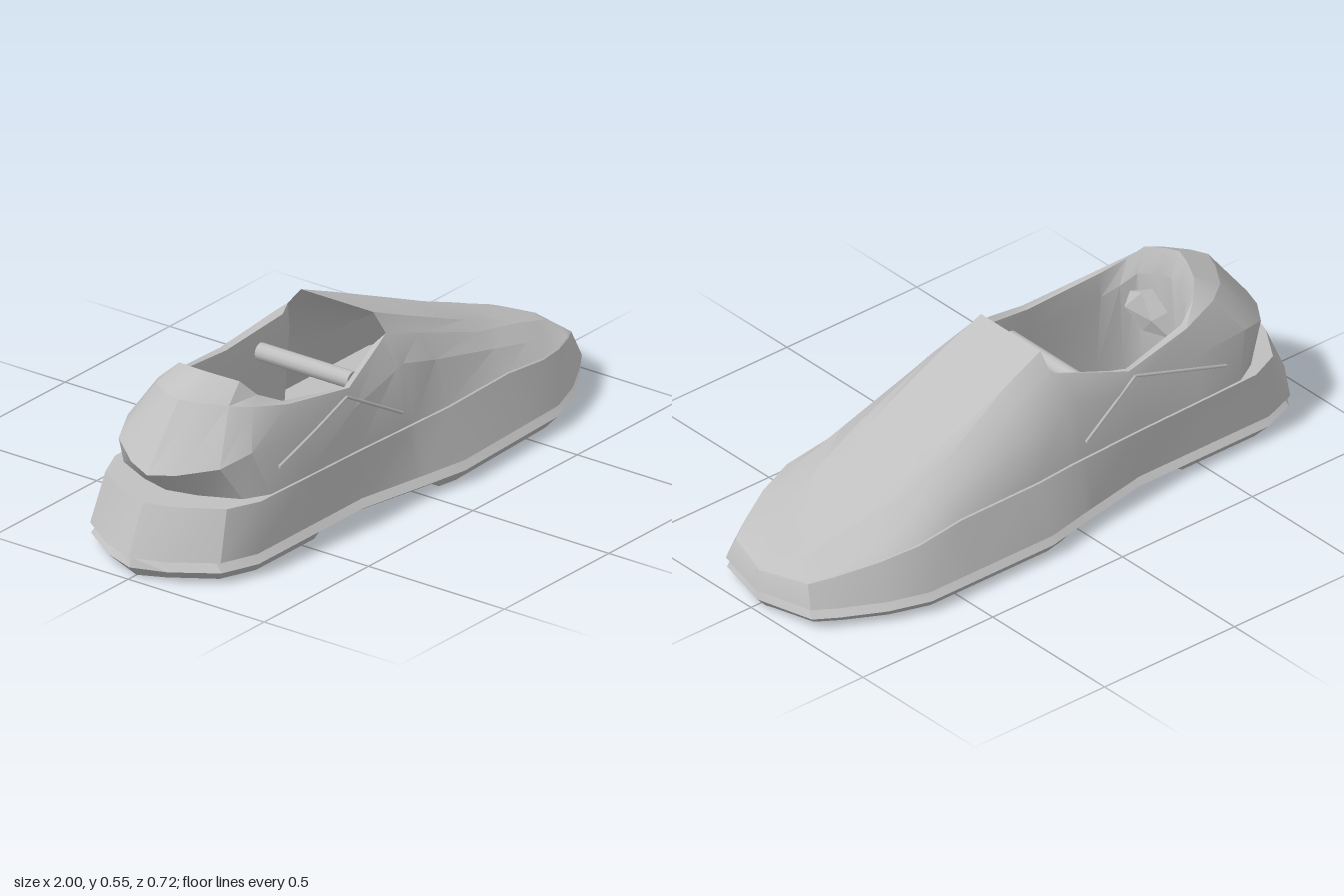
import * as THREE from 'three';
import { toCreasedNormals } from 'three/addons/utils/BufferGeometryUtils.js';

// Straight-line curve through [position, value] knots
const curve = (...knots) => (t) => {
  const i = Math.max(1, knots.findIndex((k) => k[0] >= t));
  const [t0, v0] = knots[i - 1], [t1, v1] = knots[i];
  return v0 + (v1 - v0) * (t - t0) / (t1 - t0);
};

// Half width of the footprint from heel (-1) to toe (1)
const footprint = curve([-1, 0], [-.96, .11], [-.87, .24], [-.75, .285], [-.25, .285],
  [.15, .36], [.62, .35], [.8, .29], [.95, .19], [1, 0]);

// A line along the shoe: its heel and toe ends, height, and share of the footprint width
const row = (heel, toe, height, share) => (t) => {
  let x = t;
  if (t < -.5) x = -.5 + (t + .5) * (-.5 - heel) / .5;
  if (t > .6) x = .6 + (t - .6) * (toe - .6) / .4;
  return [x, height(t), footprint(t) * share(t)];
};

const weltHeight = curve([-1, .22], [.5, .22], [.78, .175], [1, .13]);
const weltShare = curve([-1, .92], [-.25, .98], [.1, .83], [1, .85]);
const base = row(-1, 1, () => .07, () => 1);
const welt = row(-.93, .985, weltHeight, weltShare);
const seam = row(-.82, .984, (t) => weltHeight(t) + .002, (t) => weltShare(t) * .98);
const shoulder = row(-.91, .975,
  curve([-1, .3], [-.75, .36], [-.25, .35], [0, .4], [.15, .36], [.62, .24], [.88, .165], [1, .143]),
  curve([-1, .75], [-.25, .9], [.05, .7], [1, .65]));
const rim = row(-.76, .965,
  curve([-1, .49], [-.87, .48], [-.25, .41], [0, .48], [.15, .43], [.45, .32], [.75, .23], [1, .146]),
  curve([-1, .5], [-.25, .83], [0, .54], [.45, .5], [.7, .38], [1, .4]));
const top = row(-.65, .955,
  curve([-1, .545], [-.87, .525], [-.75, .48], [-.25, .405], [-.04, .46], [0, .535], [.7, .24], [1, .15]),
  curve([-1, .4], [-.25, .76], [-.04, .52], [0, .4], [.45, .36], [.75, .2], [1, .2]));

const stations = [-1, -.96, -.87, -.75, -.5, -.25, -.04, 0, .15, .45, .62, .75, .88, .95, .99, 1];
const opening = stations.filter((t) => t < 0);
const closed = stations.filter((t) => t >= 0);

const flip = ([x, y, z]) => [x, y, -z];

// Surface through a grid of points, with the toe swung slightly to one side
function skin(grid, crease = 0.5) {
  const pos = [];
  for (let i = 0; i + 1 < grid.length; i++) {
    for (let j = 0; j + 1 < grid[i].length; j++) {
      const a = grid[i][j], b = grid[i + 1][j], c = grid[i + 1][j + 1], d = grid[i][j + 1];
      for (const [x, y, z] of [a, b, c, a, c, d]) pos.push(x, y, z - .02 * Math.max(0, x));
    }
  }
  const g = new THREE.BufferGeometry();
  g.setAttribute('position', new THREE.Float32BufferAttribute(pos, 3));
  return toCreasedNormals(g, crease);
}

// Cross-sections down one side, round the heel and along the other side
function wrap(ts, section) {
  const half = ts.map(section);
  return [...half.slice(1).reverse().map((s) => s.map(flip)), ...half];
}

export function createModel() {
  const group = new THREE.Group();
  const grey = new THREE.MeshStandardMaterial({ color: 0xc0c0c0, side: THREE.DoubleSide });
  grey.name = 'plain grey';
  const add = (name, geometry) => {
    const mesh = new THREE.Mesh(geometry, grey);
    mesh.name = name;
    group.add(mesh);
    return mesh;
  };

  // Midsole band and the walls of the upper
  add('midsole', skin(wrap(stations, (t) => [base(t), welt(t), seam(t)])));
  add('upper', skin(wrap(stations, (t) => [seam(t), shoulder(t), rim(t)])));

  // Padded collar, rolling over into the inner lining
  add('collar', skin(wrap([...opening, -.001], (t) => {
    const edge = t < -.01 ? top(t) : rim(t);
    const [x, y, z] = edge;
    return [rim(t), edge, [x + (x < -.5 ? .03 : 0), y - .08, z * .97], [x, .09, z * 1.1]];
  })));

  // Tongue running down into the toe cap
  add('tongueAndToe', skin(closed.map((t) => [rim(t), top(t), flip(top(t)), flip(rim(t))])));

  // Insole closing the underside of the upper
  add('insole', skin(stations.map((t) => [base(t), flip(base(t))])));

  // Outsole with a bevelled edge and a raised arch between heel and forefoot pads
  const soleStations = [...stations, -.46, -.43, .05, .08].sort((a, b) => a - b);
  add('outsole', skin(soleStations.map((t) => {
    const w = footprint(t);
    const inner = w - Math.min(.03, w * .3);
    const bottom = t > -.45 && t < .06 ? .016 : 0;
    const half = [[t * .985, .064, inner], [t * .995, .036, w], [t * .96, bottom, inner]];
    return [...half, ...half.map(flip).reverse(), half[0]];
  }), 0.35));

  // Stitched seams on both flanks
  for (const side of [1, -1]) {
    for (const path of [
      [[-.61, .29, .256], [-.45, .34, .256], [-.27, .39, .244]],
      [[-.27, .39, .244], [-.16, .33, .262], [-.05, .27, .279]],
    ]) {
      const line = new THREE.CatmullRomCurve3(path.map(([x, y, z]) => new THREE.Vector3(x, y, z * side)));
      add('sideSeam', new THREE.TubeGeometry(line, 6, 0.005, 5));
    }
  }

  // Rod across the opening
  const rod = add('crossRod', new THREE.CylinderGeometry(.027, .027, .34, 12));
  rod.rotation.x = Math.PI / 2;
  rod.position.set(-.14, .375, -.005);

  // Crumpled pad inside the heel
  const pad = new THREE.IcosahedronGeometry(1, 0);
  const p = pad.attributes.position;
  for (let i = 0; i < p.count; i++) {
    const [x, y, z] = [p.getX(i), p.getY(i), p.getZ(i)];
    const k = 1 + .15 * Math.sin(x * 7 + y * 5 + z * 3);
    p.setXYZ(i, x * k * .035, y * k * .075, z * k * .105);
  }
  pad.computeVertexNormals();
  add('heelPad', pad).position.set(-.535, .38, .01);

  return group;
}
